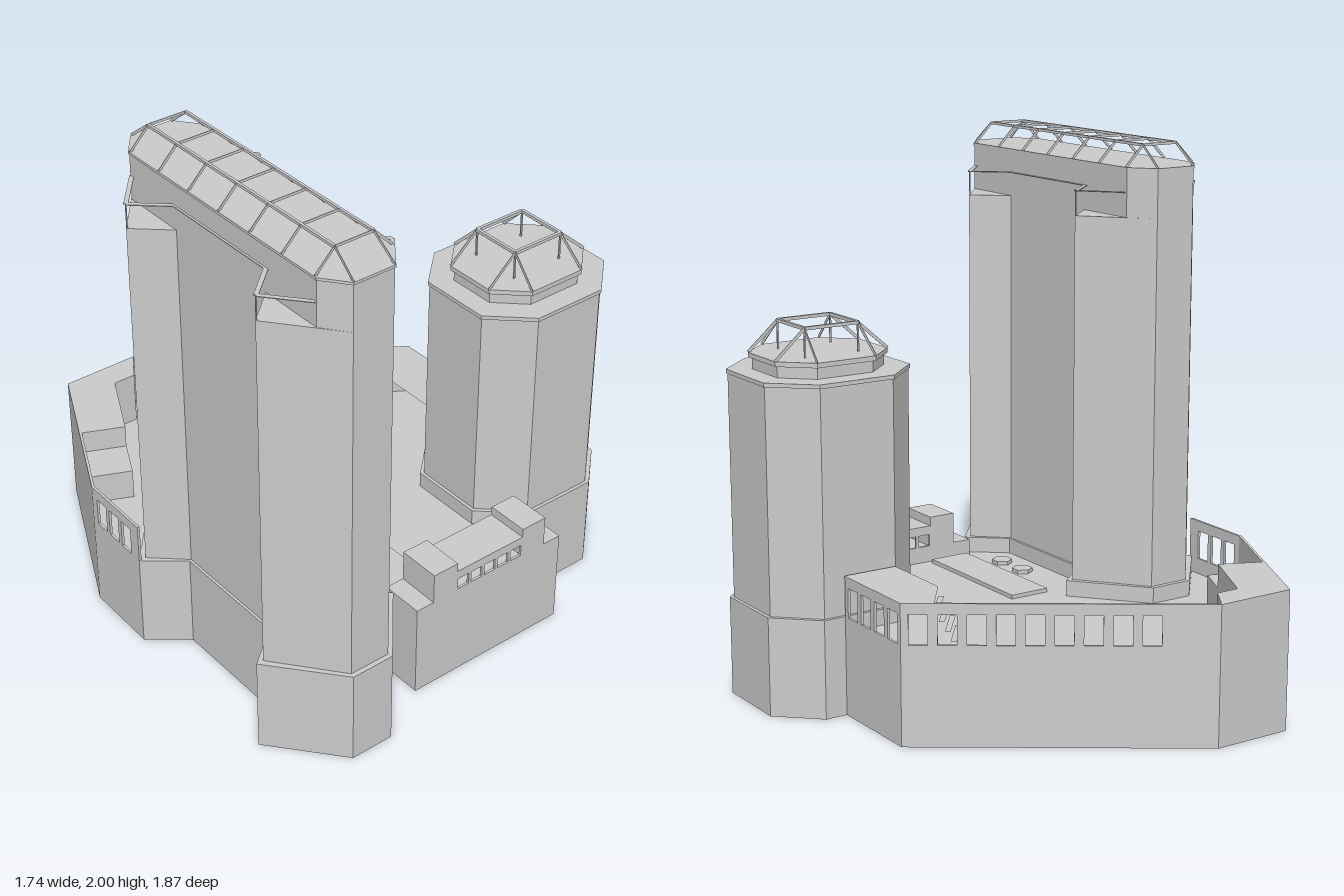
import * as THREE from 'three';

const MAT = new THREE.MeshStandardMaterial({ color: 0xcccccc, flatShading: true, side: THREE.DoubleSide });
const DECK = 0.31, BASE = 0.37, WALL = 0.52, FRONT = 0.81;

function add(parent, name, geometry) {
  const mesh = new THREE.Mesh(geometry, MAT);
  mesh.name = name;
  parent.add(mesh);
  return mesh;
}

// Flat horizontal polygon from [x, z] points
function slab(parent, name, pts, y) {
  const g = new THREE.ShapeGeometry(new THREE.Shape(pts.map(([x, z]) => new THREE.Vector2(x, -z))));
  return add(parent, name, g.rotateX(-Math.PI / 2).translate(0, y, 0));
}

// Upright side walls around an [x, z] outline
function sides(parent, name, outline, y0, y1) {
  const flat = outline.map(([x, z]) => new THREE.Vector2(x, -z));
  const pts = THREE.ShapeUtils.isClockWise(flat) ? [...outline].reverse() : outline;
  const pos = [];
  pts.forEach(([ax, az], i) => {
    const [bx, bz] = pts[(i + 1) % pts.length];
    pos.push(ax, y0, az, bx, y0, bz, bx, y1, bz, ax, y0, az, bx, y1, bz, ax, y1, az);
  });
  const g = new THREE.BufferGeometry();
  g.setAttribute('position', new THREE.Float32BufferAttribute(pos, 3));
  g.computeVertexNormals();
  add(parent, name, g);
}

// Side walls with a top, open below
function prism(parent, name, outline, y0, y1) {
  const group = new THREE.Group();
  group.name = name;
  parent.add(group);
  sides(group, name + 'Sides', outline, y0, y1);
  slab(group, name + 'Top', outline, y1);
}

// Thin upright wall from a to b, with windows [start, end, bottom, top] along it
function wall(parent, name, a, b, y0, y1, windows = []) {
  const dx = b[0] - a[0], dz = b[1] - a[1], len = Math.hypot(dx, dz);
  const rect = (S, u0, u1, v0, v1) => new S([[u0, v0], [u1, v0], [u1, v1], [u0, v1]].map((p) => new THREE.Vector2(...p)));
  const shape = rect(THREE.Shape, 0, len, y0, y1);
  windows.forEach((w) => shape.holes.push(rect(THREE.Path, ...w)));
  const mesh = add(parent, name, new THREE.ExtrudeGeometry(shape, { depth: 0.01, bevelEnabled: false }));
  mesh.position.set(a[0], 0, a[1]);
  mesh.rotation.y = Math.atan2(-dz, dx);
}

// Row of equal windows
const row = (n, start, pitch, width, v0, v1) =>
  Array.from({ length: n }, (_, i) => [start + i * pitch, start + i * pitch + width, v0, v1]);

// Straight flat bar between two points, w wide and h high
function bar(parent, name, a, b, w, h) {
  const p = new THREE.Vector3(...a), q = new THREE.Vector3(...b);
  const mesh = add(parent, name, new THREE.BoxGeometry(w, h, p.distanceTo(q)));
  mesh.position.copy(p).lerp(q, 0.5);
  mesh.lookAt(q);
}

// Octagon with cut corners
const octagon = (cx, cz, w, d, cx1, cz1) => [
  [cx - w + cx1, cz - d], [cx + w - cx1, cz - d], [cx + w, cz - d + cz1], [cx + w, cz + d - cz1],
  [cx + w - cx1, cz + d], [cx - w + cx1, cz + d], [cx - w, cz + d - cz1], [cx - w, cz - d + cz1]];

// Long plan with a pointed bay at each corner
function bayPlan(cx, cz, end, endZ, tip, tipZ, side, sideZ) {
  const q = [[end, endZ], [tip, tipZ], [side, sideZ]];
  const r = [...q].reverse();
  const map = (list, sx, sz) => list.map(([x, z]) => [cx + sx * x, cz + sz * z]);
  return [...map(q, 1, -1), ...map(r, 1, 1), ...map(q, -1, 1), ...map(r, -1, -1)];
}

const TALL = [-0.57, 0.33], LOW = [0.56, 0.355];
const tallBase = bayPlan(...TALL, 0.085, 0.605, 0.3, 0.35, 0.16, 0.235);
const lowBase = octagon(...LOW, 0.305, 0.288, 0.15, 0.14);

function buildPodium(root) {
  const g = new THREE.Group();
  g.name = 'podium';
  root.add(g);
  const t = tallBase, o = lowBase, gateZ = o[5][1];
  const back = [t[10], [-0.865, -0.32], [-0.575, -0.93], [-0.27, -0.93], [0.63, -0.31], [0.63, o[0][1]]];
  const gate = [[0.405, gateZ], [0.405, FRONT], [-0.27, FRONT], [-0.27, gateZ]];
  // hollow lower walls and the sunken deck between the towers
  sides(g, 'lowerWalls', [...back, ...o.slice(1, 6), gate[1], gate[2], ...t.slice(4, 10)], 0, DECK);
  slab(g, 'deck', [...back, o[0], o[7], o[6], o[5], gate[3], t[4], t[3], t[2], t[1], t[0], t[11]], DECK);
  // upper walls with window rows
  const rows = [row(3, 0.05, 0.08, 0.06, BASE, 0.48), [], [], row(9, 0.2, 0.1, 0.066, BASE, 0.48),
    row(4, 0.02, 0.09, 0.066, BASE, 0.48)];
  rows.forEach((windows, i) => wall(g, 'upperWall', back[i], back[i + 1], DECK, WALL, windows));
  // raised back strip, low block and corner roof
  prism(g, 'backTerrace', [[-0.715, -0.625], [-0.57, -0.93], [-0.27, -0.93], [-0.34, -0.82], [-0.43, -0.82],
    [-0.56, -0.555]], DECK, WALL);
  prism(g, 'lowBlock', [[-0.715, -0.625], [-0.56, -0.555], [-0.63, -0.41], [-0.785, -0.48]], DECK, 0.43);
  slab(g, 'cornerRoof', [[0.42, 0.07], [0.63, 0.07], [0.63, -0.31], [0.53, -0.37], [0.42, -0.22]], WALL);
  // open treads up to the corner roof
  for (let i = 0; i < 5; i++) {
    const x = 0.016 * i, z = 0.012 * i;
    slab(g, 'tread', [[0.45 + x, -0.42 + z], [0.34 + x, -0.28 + z], [0.356 + x, -0.268 + z], [0.466 + x, -0.408 + z]],
      DECK + 0.035 * (i + 1));
  }
  // low pads on the deck
  prism(g, 'courtPad', [[-0.23, -0.885], [0.43, -0.43], [0.36, -0.25], [0.13, 0.06], [-0.56, -0.41]], DECK, DECK + 0.015);
  prism(g, 'longPad', [[-0.24, 0.06], [-0.08, 0.06], [-0.08, 0.62], [-0.24, 0.62]], DECK, DECK + 0.015);
  for (const z of [0.33, 0.47]) {
    add(g, 'roundPad', new THREE.CylinderGeometry(0.04, 0.04, 0.015, 6)).position.set(-0.31, DECK + 0.0075, z);
  }
  // front gatehouse: base, two blocks and a windowed link
  prism(g, 'gateBase', gate, DECK, BASE);
  for (const x of [-0.195, 0.22]) {
    prism(g, 'gateBlock', [[x, gateZ], [x + 0.108, gateZ], [x + 0.108, FRONT], [x, FRONT]], BASE, 0.49);
  }
  const panes = row(5, 0.005, 0.062, 0.05, BASE + 0.004, 0.42);
  wall(g, 'gateFront', [0.22, FRONT], [-0.088, FRONT], BASE, 0.455, panes);
  wall(g, 'gateBack', [0.22, gateZ + 0.01], [-0.088, gateZ + 0.01], BASE, 0.455, panes);
  slab(g, 'gateRoof', [[-0.088, gateZ], [0.22, gateZ], [0.22, FRONT], [-0.088, FRONT]], 0.455);
}

function buildTallTower(root) {
  const g = new THREE.Group();
  g.name = 'tallTower';
  root.add(g);
  const [cx, cz] = TALL;
  prism(g, 'towerBase', tallBase, DECK, BASE);
  prism(g, 'towerShaft', bayPlan(cx, cz, 0.08, 0.587, 0.272, 0.35, 0.15, 0.24), BASE, 1.74);
  prism(g, 'towerSlab', octagon(cx, cz, 0.15, 0.587, 0.07, 0.09), 1.74, 1.91);
  prism(g, 'towerLip', octagon(cx, cz, 0.153, 0.59, 0.071, 0.091), 1.91, 1.92);
  // balcony posts and flat rails on the four bays and along the sides
  for (const sx of [-1, 1]) {
    const x = cx + sx * 0.15;
    for (const sz of [-1, 1]) {
      const tip = [cx + sx * 0.268, 1.83, cz + sz * 0.35];
      bar(g, 'balconyPost', [tip[0], 1.74, tip[2]], tip, 0.004, 0.004);
      for (const z of [0.245, 0.49]) bar(g, 'balconyRail', tip, [x, 1.83, cz + sz * z], 0.016, 0.003);
    }
    bar(g, 'sideRail', [x, 1.83, cz - 0.245], [x, 1.83, cz + 0.245], 0.016, 0.003);
  }
  // open roof frame
  const frame = new THREE.Group();
  frame.name = 'roofFrame';
  g.add(frame);
  for (let i = 0; i <= 6; i++) {
    const z = cz - 0.49 + i * 0.98 / 6;
    const p = [[-0.15, 1.92], [-0.075, 1.995], [0.075, 1.995], [0.15, 1.92]].map(([x, y]) => [cx + x, y, z]);
    for (let k = 0; k < 3; k++) bar(frame, 'roofRib', p[k], p[k + 1], 0.002, 0.01);
  }
  for (const sx of [-1, 1]) {
    const x = cx + sx * 0.075;
    bar(frame, 'roofRail', [x, 1.995, cz - 0.49], [x, 1.995, cz + 0.49], 0.01, 0.01);
    for (const sz of [-1, 1]) {
      bar(frame, 'roofHip', [x, 1.995, cz + sz * 0.49], [cx + sx * 0.08, 1.92, cz + sz * 0.587], 0.002, 0.01);
    }
  }
}

function buildLowTower(root) {
  const g = new THREE.Group();
  g.name = 'lowTower';
  root.add(g);
  const [cx, cz] = LOW;
  prism(g, 'lowTowerBase', lowBase, DECK, BASE);
  prism(g, 'lowTowerShaft', octagon(cx, cz, 0.292, 0.275, 0.145, 0.135), BASE, 1.205);
  prism(g, 'lowTowerLip', octagon(cx, cz, 0.297, 0.28, 0.147, 0.137), 1.205, 1.22);
  prism(g, 'drum', octagon(cx, cz, 0.217, 0.195, 0.105, 0.1), 1.22, 1.265);
  const rim = octagon(cx, cz, 0.228, 0.207, 0.11, 0.105);
  prism(g, 'drumRim', rim, 1.262, 1.28);
  // open lantern frame
  const y = 1.385, w = 0.108, d = 0.1;
  const corners = [[-w, -d], [w, -d], [w, d], [-w, d]].map(([x, z]) => [cx + x, y, cz + z]);
  corners.forEach((c, i) => {
    bar(g, 'lanternRing', c, corners[(i + 1) % 4], 0.012, 0.012);
    bar(g, 'lanternPost', [c[0], 1.28, c[2]], c, 0.006, 0.006);
  });
  rim.forEach(([x, z]) => bar(g, 'lanternStrut', [x, 1.28, z],
    [cx + Math.sign(x - cx) * w, y, cz + Math.sign(z - cz) * d], 0.002, 0.012));
}

export function createModel() {
  const root = new THREE.Group();
  root.name = 'towerComplex';
  buildPodium(root);
  buildTallTower(root);
  buildLowTower(root);
  return root;
}
